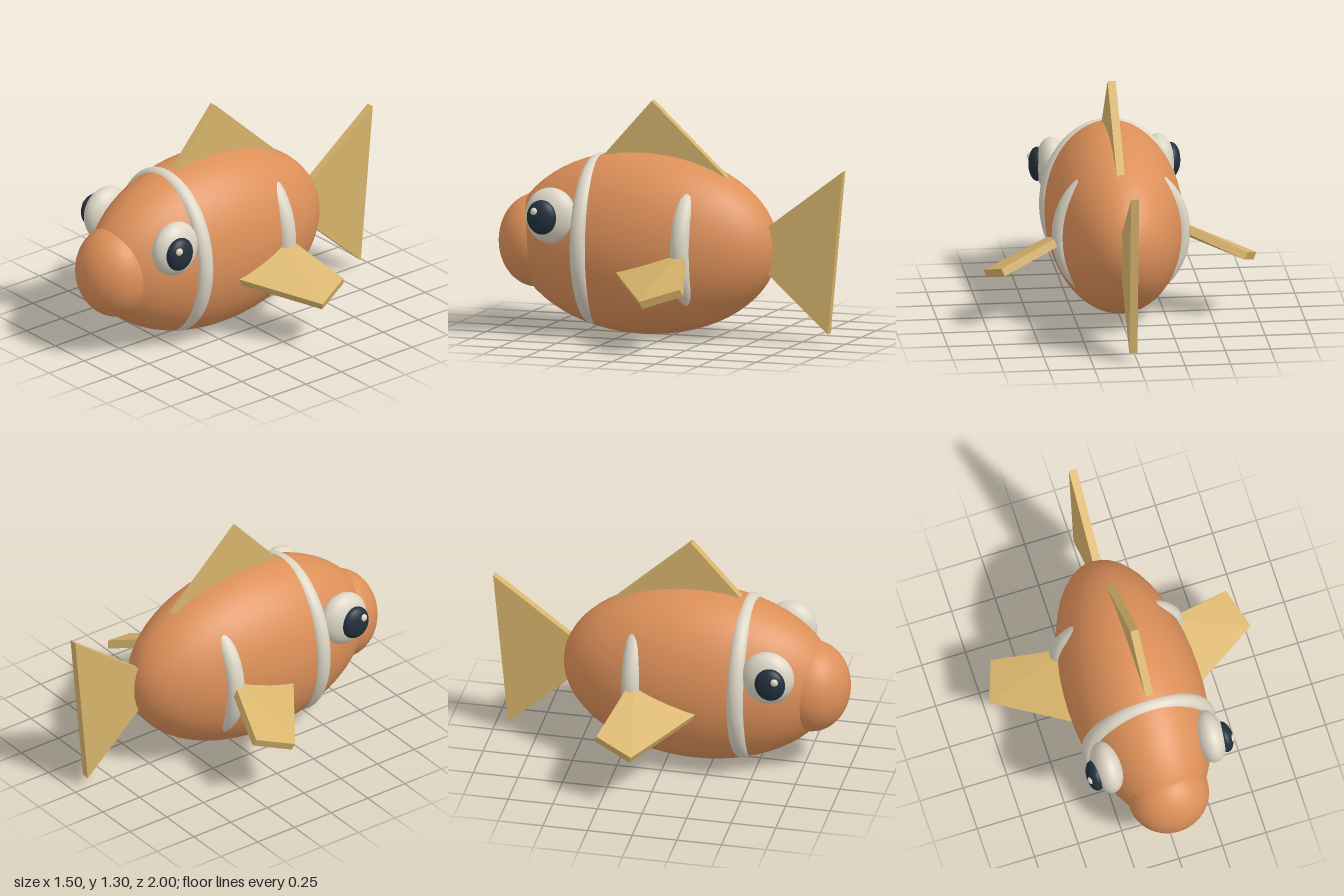
import * as THREE from 'three';
import { ConvexGeometry } from 'three/addons/geometries/ConvexGeometry.js';

const material = (name, color) => {
  const m = new THREE.MeshStandardMaterial({ color });
  m.name = name;
  return m;
};

export function createModel() {
  const orange = material('orange skin', 0xdd9059);
  const cream = material('cream', 0xddd6c6);
  const tan = material('tan fin', 0xd8b46c);
  const navy = material('dark navy', 0x22303c);

  const fish = new THREE.Group();
  fish.name = 'fish';
  const cx = 0.005; // centre line of the body

  const add = (name, geometry, mat) => {
    const mesh = new THREE.Mesh(geometry, mat);
    mesh.name = name;
    fish.add(mesh);
    return mesh;
  };
  const ellipsoid = (name, mat, pos, radii) => {
    const mesh = add(name, new THREE.SphereGeometry(1, 48, 32), mat);
    mesh.position.set(...pos);
    mesh.scale.set(...radii);
  };

  // Body and snout
  ellipsoid('body', orange, [cx, 0.508, 0.16], [0.375, 0.505, 0.76]);
  ellipsoid('snout', orange, [cx, 0.488, 0.79], [0.225, 0.258, 0.21]);

  // Stripes: oval rings partly sunk into the body
  const stripe = (name, z, ring, tube, squeeze) => {
    const mesh = add(name, new THREE.TorusGeometry(ring, tube, 20, 80), cream);
    mesh.position.set(cx, 0.512, z);
    mesh.scale.x = squeeze;
  };
  stripe('frontStripe', 0.43, 0.43, 0.046, 0.805);
  stripe('rearStripe', -0.155, 0.357, 0.053, 0.93);

  // Eyes
  for (const [side, s] of [['left', 1], ['right', -1]]) {
    ellipsoid(side + 'Eye', cream, [cx + s * 0.295, 0.675, 0.605], [0.086, 0.155, 0.146]);
    ellipsoid(side + 'Pupil', navy, [cx + s * 0.37, 0.675, 0.632], [0.048, 0.095, 0.085]);
    ellipsoid(side + 'Glint', cream, [cx + s * 0.405, 0.71, 0.663], [0.016, 0.022, 0.022]);
  }

  // Upright fins: flat triangles given as [z, y]
  const uprightFin = (name, corners) => {
    const points = corners.flatMap(([z, y]) =>
      [0.003, 0.048].map((x) => new THREE.Vector3(x, y, z)));
    add(name, new ConvexGeometry(points), tan);
  };
  uprightFin('dorsalFin', [[0.11, 1.3], [0.465, 0.9], [-0.427, 0.8]]);
  uprightFin('tailFin', [[-1, 0.965], [-0.915, 0.06], [-0.407, 0.517]]);

  // Side fins: slanted slabs, the right one set a little higher
  const top = [[0.26, 0.417, 0.28], [0.752, 0.3, -0.07], [0.678, 0.368, -0.28], [0.28, 0.54, -0.157]];
  const depth = new THREE.Vector3(-0.0176, -0.04, -0.0117);
  const sideFin = (name, s, dy, dz) => {
    const points = top.flatMap((p) => {
      const upper = new THREE.Vector3(...p);
      return [upper, upper.clone().add(depth)];
    });
    points.forEach((p) => p.set(p.x * s, p.y + dy, p.z + dz));
    add(name, new ConvexGeometry(points), tan);
  };
  sideFin('leftSideFin', 1, 0, 0);
  sideFin('rightSideFin', -1, 0.045, 0.008);

  return fish;
}
